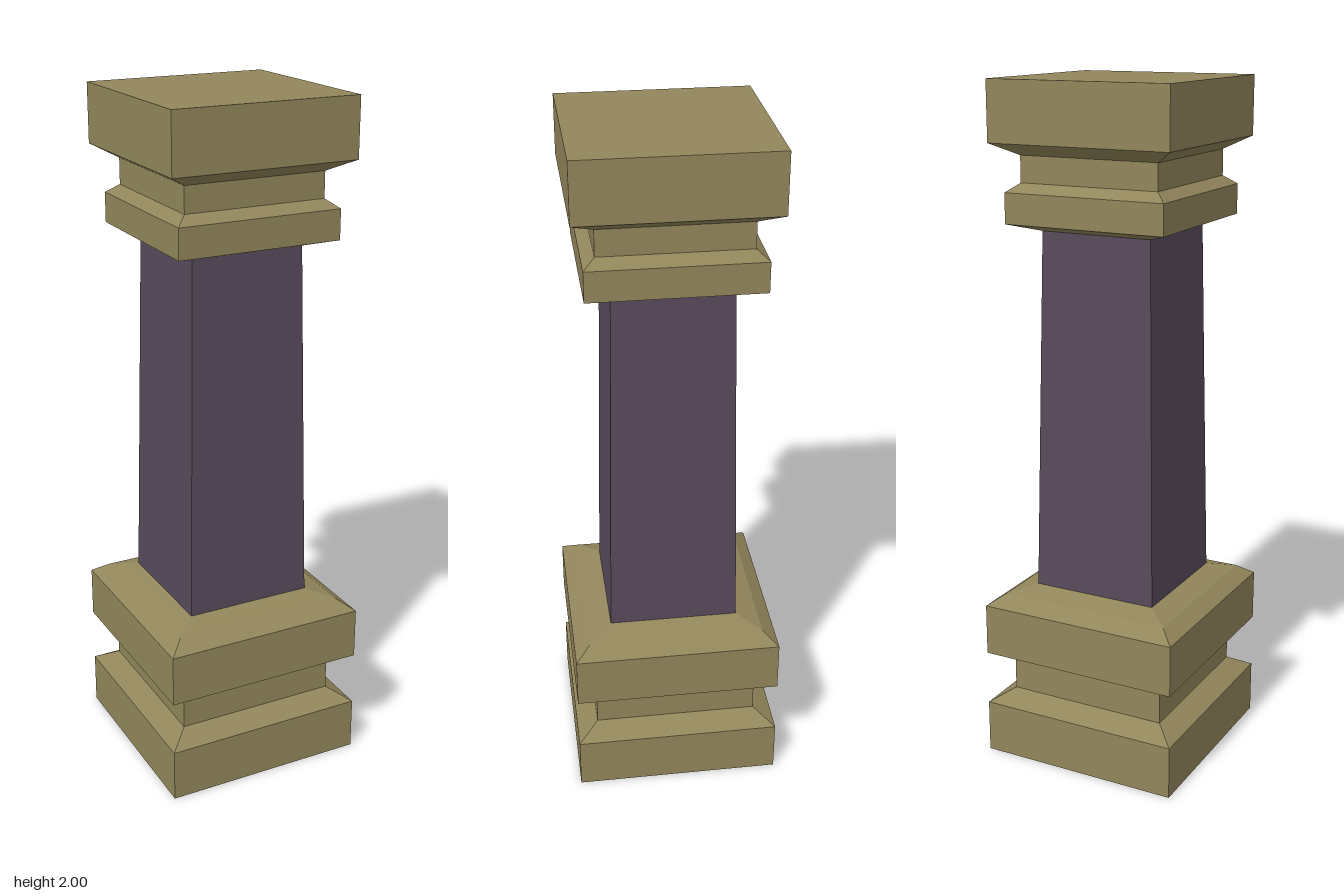
import * as THREE from 'three';

const stone = new THREE.MeshStandardMaterial({ color: 0x92865b, flatShading: true });
stone.name = 'tan stone';
const purple = new THREE.MeshStandardMaterial({ color: 0x584a5b, flatShading: true });
purple.name = 'dark purple';

// Square moulding: sweeps a [halfWidth, y] profile, listed upwards, round four sides
function squareMoulding(name, profile, material) {
  const points = profile.map(([half, y]) => new THREE.Vector2(half * Math.SQRT2, y));
  const geometry = new THREE.LatheGeometry(points, 4, Math.PI / 4).toNonIndexed();
  geometry.computeVertexNormals();
  const mesh = new THREE.Mesh(geometry, material);
  mesh.name = name;
  return mesh;
}

export function createModel() {
  const pillar = new THREE.Group();
  pillar.name = 'pillar';

  // Stepped base: plinth, neck and chamfered upper block
  pillar.add(squareMoulding('base', [
    [0, 0], [0.304, 0], [0.304, 0.158], [0.243, 0.195],
    [0.243, 0.318], [0.285, 0.318], [0.304, 0.322],
    [0.304, 0.475], [0.26, 0.507], [0.19, 0.527], [0, 0.527],
  ], stone));

  // Tapered shaft
  pillar.add(squareMoulding('shaft', [[0.19, 0.525], [0.168, 1.587]], purple));

  // Capital: collar, neck and flat cap block
  pillar.add(squareMoulding('capital', [
    [0, 1.585], [0.168, 1.585], [0.243, 1.608], [0.243, 1.695], [0.21, 1.72],
    [0.21, 1.795], [0.274, 1.83], [0.274, 2], [0, 2],
  ], stone));

  return pillar;
}
